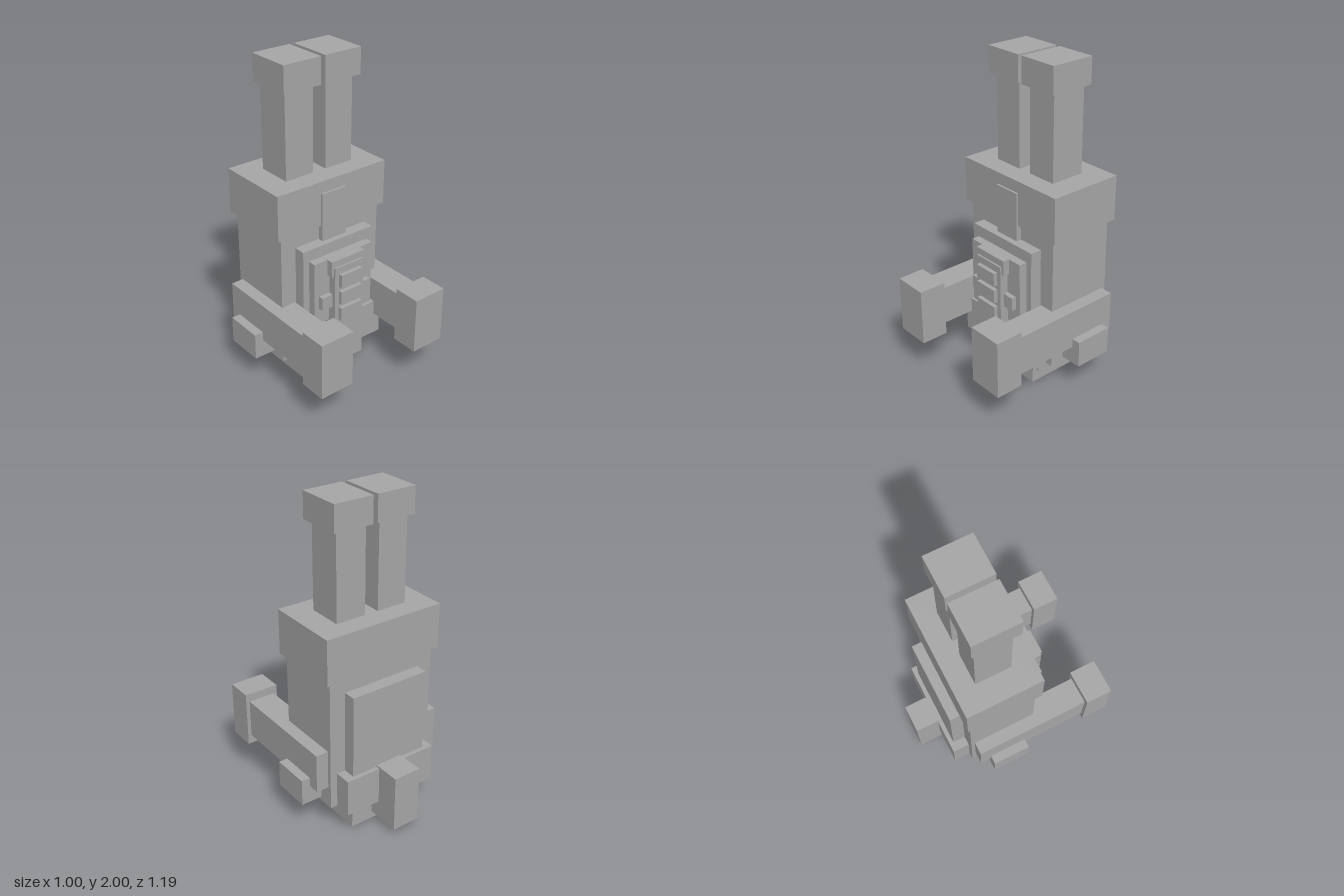
import * as THREE from 'three';

export function createModel() {
  const model = new THREE.Group();
  model.name = 'rabbitToy';
  const grey = new THREE.MeshStandardMaterial({ color: 0xa6a6a6 });
  grey.name = 'grey';

  // Box given by its limits on each axis
  function box(name, [x0, x1], [y0, y1], [z0, z1]) {
    const mesh = new THREE.Mesh(new THREE.BoxGeometry(x1 - x0, y1 - y0, z1 - z0), grey);
    mesh.position.set((x0 + x1) / 2, (y0 + y1) / 2, (z0 + z1) / 2);
    mesh.name = name;
    model.add(mesh);
  }
  const centred = (name, half, y, z) => box(name, [-half, half], y, z);
  function pair(name, [x0, x1], y, z) {
    box(name + 'Left', [x0, x1], y, z);
    box(name + 'Right', [-x1, -x0], y, z);
  }

  // Head with snout and ears
  centred('head', 0.395, [1.02, 1.303], [-0.365, 0.117]);
  centred('snout', 0.088, [0.9, 1.23], [0.05, 0.13]);
  pair('ear', [0.045, 0.24], [1.3, 1.84], [-0.235, -0.01]);
  pair('earTip', [0.015, 0.27], [1.838, 2], [-0.26, 0.026]);

  // Torso: main block, front-to-back padding, hips
  centred('body', 0.363, [0.17, 1.03], [-0.34, 0.095]);
  centred('padding', 0.26, [0.35, 0.925], [-0.42, 0.168]);
  centred('hips', 0.317, [0.163, 0.4], [-0.447, 0.2]);
  centred('hipUnderside', 0.312, [0.155, 0.2], [-0.3, 0.05]);

  // Chest panel, layered outwards
  centred('chestPlate', 0.218, [0.435, 0.852], [0.1, 0.219]);
  centred('chestBar', 0.184, [0.54, 0.625], [0.15, 0.249]);
  centred('collar', 0.123, [0.752, 0.853], [0.15, 0.262]);
  centred('buttonPanel', 0.108, [0.38, 0.81], [0.15, 0.273]);
  for (const y of [0.451, 0.565, 0.679]) {
    centred('button', 0.079, [y, y + 0.086], [0.2, 0.299]);
  }

  // Arms, hands and side pods
  pair('arm', [0.268, 0.443], [0.308, 0.557], [-0.315, 0.43]);
  pair('hand', [0.243, 0.467], [0.25, 0.61], [0.424, 0.597]);
  pair('sidePod', [0.33, 0.5], [0.197, 0.366], [-0.244, 0.001]);

  // Base and tail
  centred('foot', 0.236, [0, 0.18], [-0.38, 0.132]);
  centred('toeBar', 0.288, [0.11, 0.18], [0.05, 0.13]);
  centred('tail', 0.09, [0.048, 0.411], [-0.597, -0.36]);

  return model;
}
